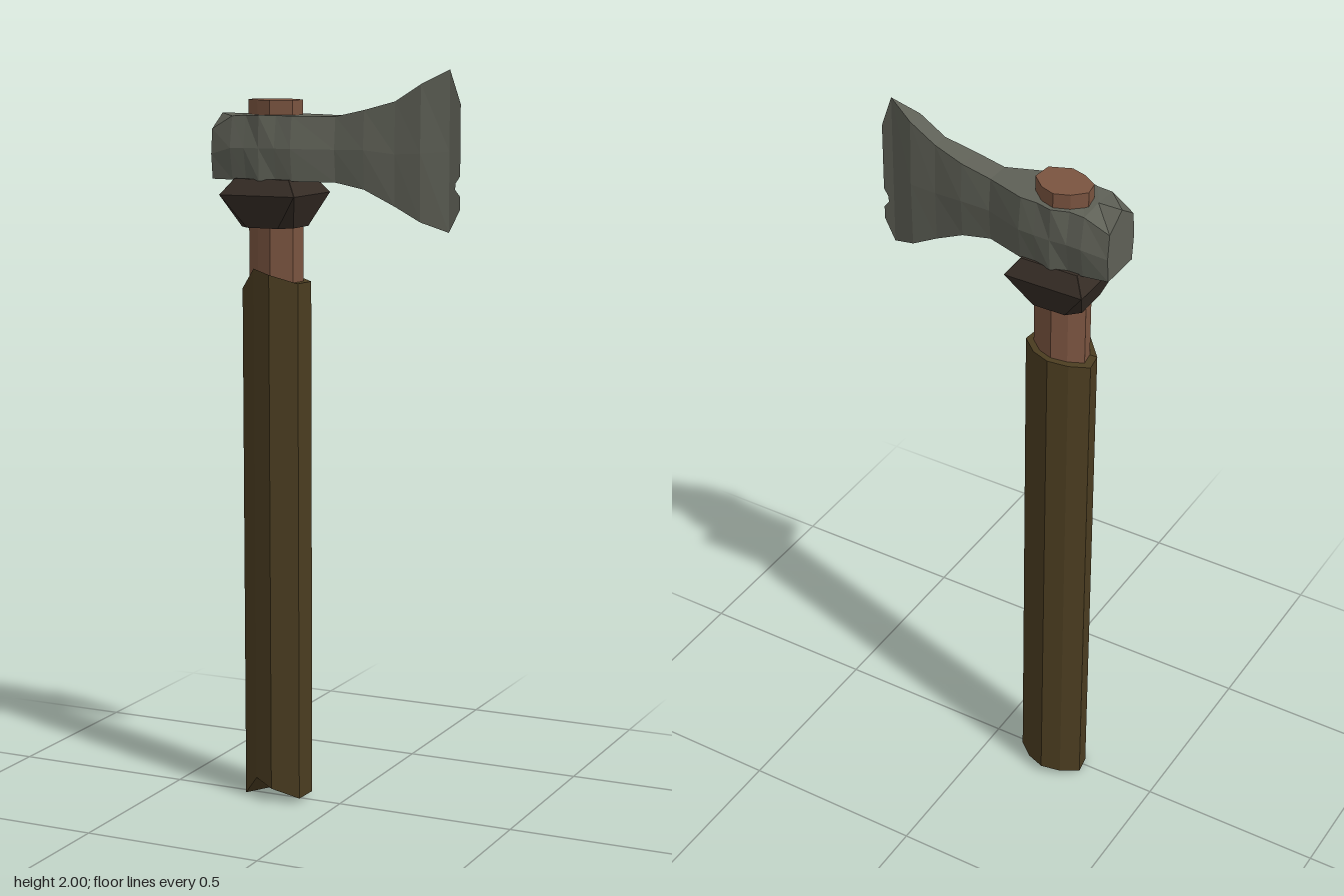
import * as THREE from 'three';

const mat = (color) => new THREE.MeshStandardMaterial({ color, flatShading: true, roughness: 0.9, side: THREE.DoubleSide });
const wood = mat(0x7a5440), wrap = mat(0x4a3c20), steel = mat(0x5e6056), leather = mat(0x352c25);

// Joins rings of [x, y, z] points into a faceted closed solid
function loft(rings) {
  const pos = [];
  const tri = (a, b, c) => pos.push(...a, ...b, ...c);
  const n = rings[0].length;
  for (let i = 0; i < rings.length - 1; i++) {
    for (let j = 0; j < n; j++) {
      const k = (j + 1) % n, p = rings[i], q = rings[i + 1];
      tri(p[j], p[k], q[k]);
      tri(p[j], q[k], q[j]);
    }
  }
  const middle = (ring) => [0, 1, 2].map((a) => ring.reduce((s, p) => s + p[a], 0) / n);
  const first = rings[0], last = rings[rings.length - 1];
  const c0 = middle(first), c1 = middle(last);
  for (let j = 0; j < n; j++) {
    const k = (j + 1) % n;
    tri(c0, first[k], first[j]);
    tri(c1, last[j], last[k]);
  }
  const geo = new THREE.BufferGeometry();
  geo.setAttribute('position', new THREE.Float32BufferAttribute(pos, 3));
  geo.computeVertexNormals();
  return geo;
}

export function createModel() {
  const axe = new THREE.Group();
  axe.name = 'axe';
  const add = (name, geometry, material) => {
    const mesh = new THREE.Mesh(geometry, material);
    mesh.name = name;
    axe.add(mesh);
  };

  // Uneven hand-cut handle section, as [x, z]
  const cx = -0.193, cz = -0.007;
  const section = [
    [-0.195, -0.073], [-0.235, -0.058], [-0.267, -0.025], [-0.26, 0.015], [-0.22, 0.042],
    [-0.178, 0.055], [-0.122, 0.032], [-0.117, -0.022], [-0.155, -0.058],
  ];
  const ring = (scale, height) => section.map(([x, z], i) =>
    [cx + (x - cx) * scale, Array.isArray(height) ? height[i] : height, cz + (z - cz) * scale]);

  // Wooden shaft running through the head
  add('shaft', loft([ring(1, 0.5), ring(1, 1.917)]), wood);

  // Thicker grip with ragged ends
  const gripBottom = [0.03, 0.02, 0.005, 0.005, 0.065, 0.045, 0.018, 0.02, 0.03];
  const gripTop = [1.44, 1.43, 1.415, 1.415, 1.473, 1.46, 1.437, 1.437, 1.44];
  add('grip', loft([ring(1.27, gripBottom), ring(1.27, gripTop)]), wrap);

  // Collar: square rim above a chamfered base
  const chamfered = (half, cut, y) => [
    [half, cut], [half, -cut], [cut, -half], [-cut, -half],
    [-half, -cut], [-half, cut], [-cut, half], [cut, half],
  ].map(([x, z]) => [-0.19 + x, y, z]);
  add('collar', loft([
    chamfered(0.076, 0.045, 1.583),
    chamfered(0.11, 0.109, 1.67),
    chamfered(0.08, 0.079, 1.712),
  ]), leather);

  // Head sections: x, top, top corner, bottom, half width at the corners, half width at the middle
  const stations = [
    [-0.345, 1.88, 1.84, 1.708, 0.06, 0.067],
    [-0.28, 1.88, 1.875, 1.708, 0.07, 0.085],
    [-0.24, 1.878, 1.878, 1.708, 0.07, 0.085],
    [-0.195, 1.878, 1.878, 1.708, 0.085, 0.088],
    [-0.15, 1.878, 1.878, 1.708, 0.073, 0.086],
    [-0.105, 1.878, 1.878, 1.708, 0.072, 0.083],
    [0.003, 1.877, 1.877, 1.706, 0.034, 0.042],
    [0.085, 1.895, 1.895, 1.69, 0.034, 0.041],
    [0.168, 1.918, 1.918, 1.648, 0.024, 0.028],
    [0.24, 1.963, 1.963, 1.61, 0.024, 0.028],
    [0.31, 2.0, 2.0, 1.584, 0, 0],
  ];
  add('head', loft(stations.map(([x, top, corner, bottom, w, mid]) => {
    const y = (corner + bottom) / 2;
    return [
      [x, top, 0], [x, corner, w], [x, y, mid], [x, bottom, w],
      [x, bottom, 0], [x, bottom, -w], [x, y, -mid], [x, corner, -w],
    ];
  })), steel);

  // Thin cutting edge with a chip in it
  const edge = new THREE.Shape([
    [0.31, 1.584], [0.34, 1.643], [0.34, 1.678], [0.326, 1.695], [0.328, 1.712],
    [0.34, 1.73], [0.34, 1.913], [0.31, 2.0],
  ].map(([x, y]) => new THREE.Vector2(x, y)));
  add('cuttingEdge', new THREE.ShapeGeometry(edge), steel);

  return axe;
}
